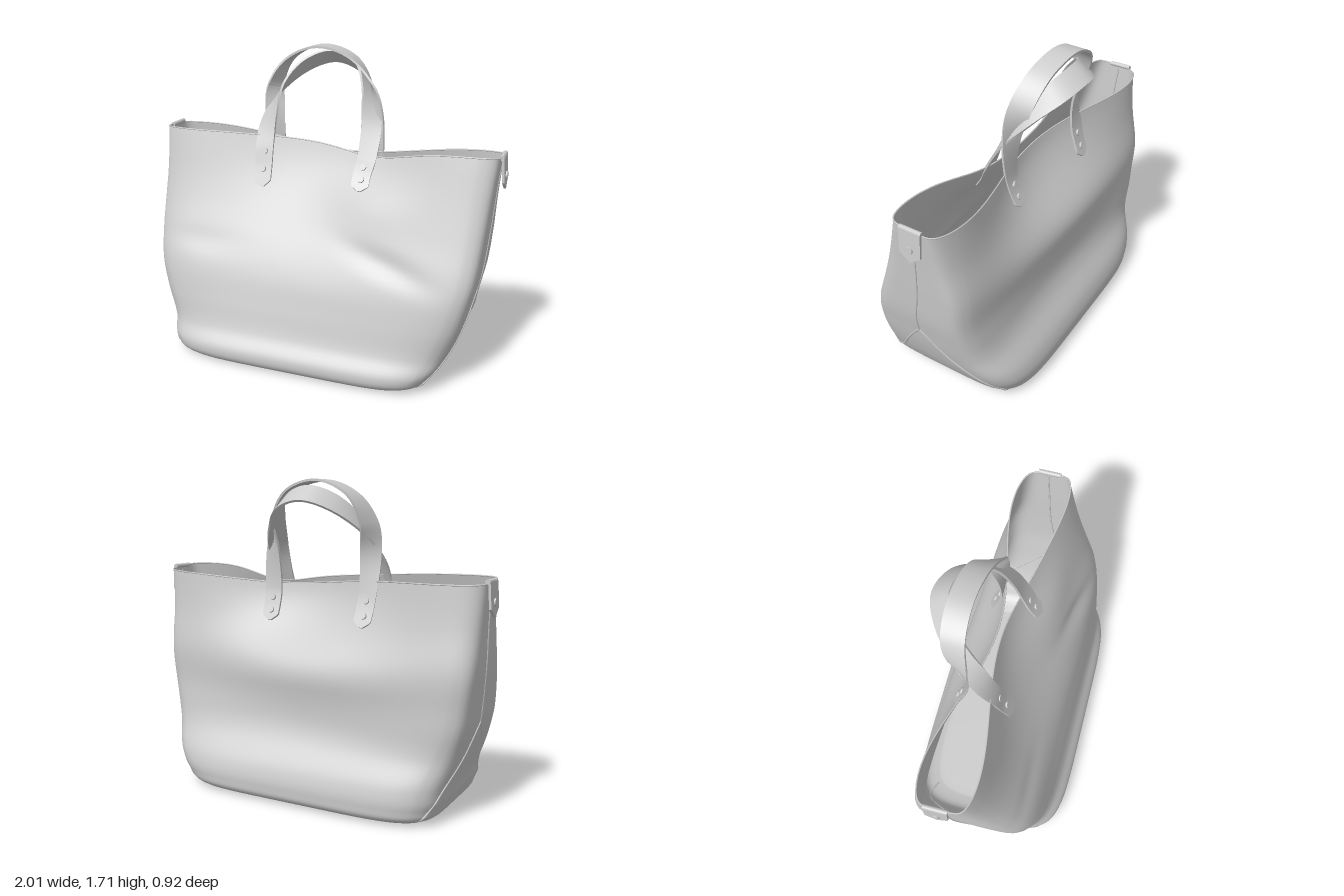
import * as THREE from 'three';
import { toCreasedNormals } from 'three/addons/utils/BufferGeometryUtils.js';

const V = (x, y, z) => new THREE.Vector3(x, y, z);
const leather = new THREE.MeshStandardMaterial({ color: 0xcccccc, side: THREE.DoubleSide });
const FLOOR = 0.012, RIM = 1.22;

// Body sections by height: reach to -x, reach to +x, front z, back z
const heights = [0.012, 0.03, 0.1, 0.2, 0.35, 0.5, 0.6, 0.8, 1.0, 1.22];
const sections = new THREE.CubicInterpolant(heights, [
  0.68, 0.60, 0.40, -0.38,
  0.745, 0.67, 0.435, -0.43,
  0.795, 0.745, 0.46, -0.46,
  0.82, 0.805, 0.405, -0.445,
  0.87, 0.86, 0.36, -0.37,
  0.91, 0.895, 0.315, -0.34,
  0.925, 0.915, 0.28, -0.325,
  0.95, 0.935, 0.2, -0.32,
  0.96, 0.95, 0.13, -0.29,
  0.975, 0.97, 0.063, -0.265,
], 4);
const bump = (x, c, w) => Math.exp(-(((x - c) / w) ** 2));

// Point on the body: (a, b) runs round the unit square, v is the height
function bag(a, b, v) {
  const [xl, xr, zf, zb] = sections.evaluate(v);
  const w = THREE.MathUtils.smoothstep(v, 0.45, 1.2);
  // corners are crisp at mid height, softer at the base and the back rim
  const n = 5.5 + (b < 0 ? -0.7 : 1.5) * w + 3 * bump(v, 0.65, 0.3);
  const k = (Math.abs(a) ** n + Math.abs(b) ** n) ** (-1 / n);
  const x = a * k * (a < 0 ? xl : xr);
  const s = b * k;
  // the upper body leans forward on its left, backward on its right
  const skew = 0.038 * x * THREE.MathUtils.smoothstep(v, 0.1, 0.6);
  let z = (zf + zb) / 2 + s * (zf - zb) / 2 + skew;
  // mouth pinched shut in the middle, later on the back than on the front
  const pinch = Math.abs(x) < 0.9 ? Math.cos(x * Math.PI / 1.8) ** 2 : 0;
  z -= pinch * s * (s > 0 ? 0.132 * w : 0.165 * THREE.MathUtils.smoothstep(v, 0.65, 1.22));
  // soft bulges and dents in the leather
  if (s > 0) {
    z += s * 0.045 * bump(x, 0.3, 0.25) * bump(v, 0.97, 0.2);
    z += s * 0.035 * bump(x, -0.85, 0.4) * bump(v, 0.55, 0.25);
    z -= s * 0.022 * bump(v + 0.25 * (x - 0.45), 0.66, 0.06) * bump(x, 0.45, 0.22);
    z -= s * 0.01 * bump(v, 0.66, 0.06) * bump(x, -0.65, 0.25);
  } else {
    z -= s * 0.02 * bump(v, 0.45, 0.12) * bump(x, 0, 0.7);
    z += s * 0.022 * bump(v, 0.72, 0.14) * bump(x, -0.1, 0.6);
  }
  // wavy rim
  const front = 1.24 - 0.065 * bump(x, 0.3, 0.28) - 0.02 * bump(x, -0.1, 0.4);
  const back = 1.21 - 0.045 * bump(x, 0.2, 0.45);
  const rim = THREE.MathUtils.lerp(back, front, (s + 1) / 2);
  return V(x, v + (rim - RIM) * w * w, z);
}

// Closed rings of points joined into a surface
function loft(rings, caps) {
  const m = rings[0].length, index = [];
  for (let i = 0; i + 1 < rings.length; i++) for (let j = 0; j < m; j++) {
    const a = i * m + j, b = i * m + (j + 1) % m;
    index.push(a, b, a + m, b, b + m, a + m);
  }
  if (caps) {
    const e = (rings.length - 1) * m;
    for (let j = 1; j + 1 < m; j++) index.push(0, j + 1, j, e, e + j, e + j + 1);
  }
  const g = new THREE.BufferGeometry().setFromPoints(rings.flat());
  g.setIndex(index);
  g.computeVertexNormals();
  return g;
}

function perimeter() {
  const pts = [];
  for (let i = 0; i < 48; i++) pts.push([-1 + i / 24, 1]);
  for (let i = 0; i < 24; i++) pts.push([1, 1 - i / 12]);
  for (let i = 0; i < 48; i++) pts.push([1 - i / 24, -1]);
  for (let i = 0; i < 24; i++) pts.push([-1, -1 + i / 12]);
  return pts;
}

// Flat strap with pointed ends, swept along [position, width direction] stops
function strapGeometry(stops) {
  const path = new THREE.CatmullRomCurve3(stops.map(s => s[0]), false, 'centripetal');
  const wide = new THREE.CatmullRomCurve3(stops.map(s => s[1]));
  const length = path.getLength(), rings = [], N = 140;
  for (let i = 0; i <= N; i++) {
    const t = i / N, p = path.getPoint(t), T = path.getTangent(t);
    const W = wide.getPoint(t).addScaledVector(T, -wide.getPoint(t).dot(T)).normalize();
    const n = V().crossVectors(T, W).multiplyScalar(0.006);
    const tip = Math.min(1, 0.2 + Math.min(t, 1 - t) * length / 0.06);
    W.multiplyScalar((0.049 + 0.012 * Math.sin(Math.PI * t) ** 2) * tip);
    rings.push([[1, -1], [1, 1], [-1, 1], [-1, -1]].map(([a, b]) =>
      p.clone().addScaledVector(W, a).addScaledVector(n, b)));
  }
  return toCreasedNormals(loft(rings, true), 0.7);
}

export function createModel() {
  const model = new THREE.Group();
  const add = (name, geometry, parent = model) => {
    const mesh = new THREE.Mesh(geometry, leather);
    mesh.name = name;
    parent.add(mesh);
    return mesh;
  };
  const tube = (name, pts, r, closed = false) => add(name,
    new THREE.TubeGeometry(new THREE.CatmullRomCurve3(pts, closed), pts.length * 2, r, 6, closed));

  // Body with its base
  const around = perimeter(), rings = [];
  for (const s of [0, 0.5, 0.92]) rings.push(around.map(([a, b]) => {
    const p = bag(a, b, FLOOR);
    return V(p.x * s, p.y, p.z * s);
  }));
  for (let i = 0; i <= 50; i++) {
    const v = FLOOR + (RIM - FLOOR) * (i / 50) ** 1.5;
    rings.push(around.map(([a, b]) => bag(a, b, v)));
  }
  add('bagBody', loft(rings, false));
  tube('rimEdge', around.map(([a, b]) => bag(a, b, RIM)), 0.004, true);

  // Seams and folded tab on each end
  for (const side of [1, -1]) {
    const steps = [...Array(15).keys()].map(i => i / 14);
    tube('endSeam', steps.map(t => bag(side, 0, 0.5 + 0.7 * t)), 0.005);
    for (const reach of [0.85, -0.92])
      tube('baseFoldSeam', steps.map(t => bag(side, reach * t, 0.5 - 0.48 * t ** 1.2)), 0.006);

    const tab = new THREE.Group();
    tab.name = 'endTab';
    const shape = new THREE.Shape([[-0.062, 0], [-0.06, -0.13], [0, -0.175], [0.06, -0.13], [0.062, 0]]
      .map(p => new THREE.Vector2(...p)));
    add('tabFlap', new THREE.ExtrudeGeometry(shape, { depth: 0.012, bevelEnabled: false }), tab);
    const roll = add('tabFold', new THREE.CylinderGeometry(0.013, 0.013, 0.124, 12), tab);
    roll.rotation.z = Math.PI / 2;
    roll.position.z = -0.002;
    const stud = add('tabRivet', new THREE.CylinderGeometry(0.02, 0.02, 0.012, 16), tab);
    stud.rotation.x = Math.PI / 2;
    stud.position.set(0, -0.1, 0.014);
    const top = bag(side, 0, RIM);
    tab.position.set(top.x + side * 0.004, 1.228, top.z + side * 0.008);
    tab.rotation.set(-0.06, side * Math.PI / 2, 0, 'YXZ');
    model.add(tab);
  }

  // Handles: riveted ends follow the body, the loop stands free above
  const onBag = (x, y, f, off = 0.012) => bag(x / 0.96, f, y).add(V(0, 0, f * off));
  const handle = (name, f, left, loop, right, apexWidth) => {
    const stops = [
      ...left.map(([x, y]) => [onBag(x, y, f), V(-f, 0, 0)]),
      ...loop.map(([x, y, z], i) => {
        const turn = Math.sin(Math.PI * (i + 0.5) / loop.length) ** 0.8;
        const sideX = (i < loop.length / 2 ? -f : f) * (1 - turn);
        return [V(x, y, z), apexWidth.clone().multiplyScalar(turn).add(V(sideX, 0, 0))];
      }),
      ...right.map(([x, y]) => [onBag(x, y, f), V(f, 0, 0)]),
    ];
    add(name, strapGeometry(stops));
  };
  handle('frontHandle', 1,
    [[-0.33, 0.955], [-0.335, 1.06], [-0.34, 1.18]],
    [[-0.342, 1.32, -0.08], [-0.3, 1.48, -0.18], [-0.2, 1.595, -0.29], [-0.06, 1.645, -0.35],
      [0.1, 1.6, -0.31], [0.2, 1.49, -0.2], [0.255, 1.33, -0.09]],
    [[0.255, 1.2], [0.245, 1.12], [0.245, 1.035]], V(0, -0.62, -0.78));
  handle('backHandle', -1,
    [[-0.33, 0.98], [-0.335, 1.08], [-0.338, 1.18]],
    [[-0.345, 1.34, -0.165], [-0.345, 1.5, -0.195], [-0.27, 1.64, -0.23], [-0.1, 1.712, -0.235],
      [0.1, 1.665, -0.21], [0.23, 1.52, -0.17], [0.262, 1.35, -0.14]],
    [[0.26, 1.19], [0.257, 1.1], [0.255, 1.0]], V(0, 0, -1));

  // Rivets through the handle ends
  const rivets = [[-0.335, 1.045, 1], [-0.335, 1.14, 1], [0.245, 1.095, 1], [0.245, 1.16, 1],
    [-0.335, 1.04, -1], [-0.335, 1.12, -1], [0.255, 1.06, -1], [0.257, 1.135, -1]];
  for (const [x, y, f] of rivets) {
    const rivet = add('handleRivet', new THREE.CylinderGeometry(0.017, 0.019, 0.014, 16));
    const up = onBag(x, y + 0.02, f).sub(onBag(x, y - 0.02, f));
    const normal = V(f, 0, 0).cross(up).normalize();
    rivet.position.copy(onBag(x, y, f)).addScaledVector(normal, 0.008);
    rivet.quaternion.setFromUnitVectors(V(0, 1, 0), normal);
  }
  return model;
}
